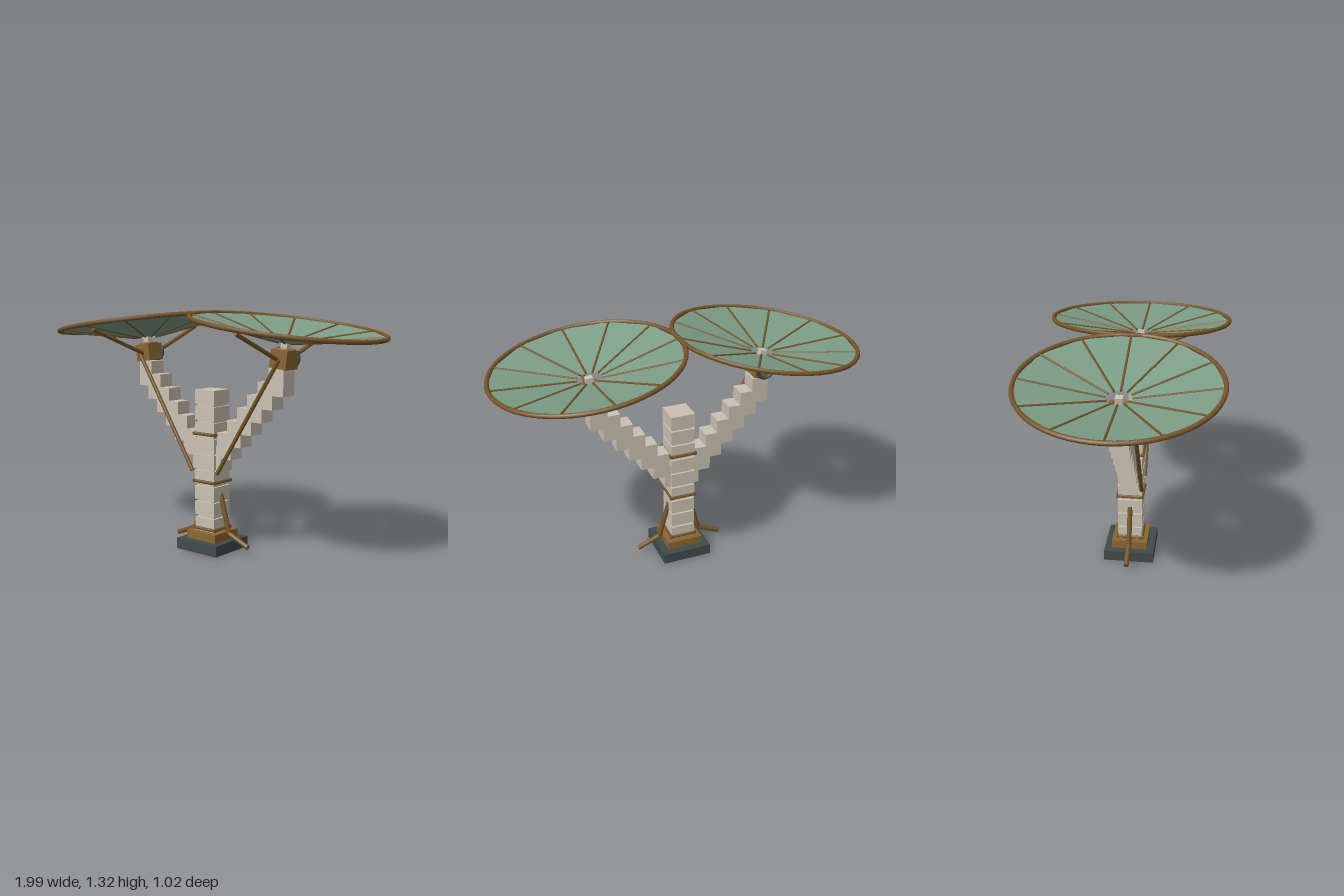
import * as THREE from 'three';

const mat = (name, color, extra = {}) => {
  const m = new THREE.MeshStandardMaterial({ color, ...extra });
  m.name = name;
  return m;
};

export function createModel() {
  const model = new THREE.Group();
  const stone = mat('pale stone', 0xc9c1b2);
  const bronze = mat('bronze', 0x8a6632);
  const brown = mat('dark bronze', 0x76552a);
  const slate = mat('slate', 0x3f4b49);
  const green = mat('canopy green', 0x7b9d87, { side: THREE.DoubleSide });

  const add = (parent, name, geo, material, x = 0, y = 0, z = 0) => {
    const m = new THREE.Mesh(geo, material);
    m.name = name;
    m.position.set(x, y, z);
    parent.add(m);
    return m;
  };
  const box = (parent, name, material, w, h, d, x, y, z) =>
    add(parent, name, new THREE.BoxGeometry(w, h, d), material, x, y, z);
  // Round bar between two points
  const rod = (parent, name, material, a, b, r, sides = 10) => {
    const p = new THREE.Vector3(...a), q = new THREE.Vector3(...b);
    const dir = q.clone().sub(p);
    const m = add(parent, name, new THREE.CylinderGeometry(r, r, dir.length(), sides), material);
    m.position.copy(p).add(q).multiplyScalar(0.5);
    m.quaternion.setFromUnitVectors(new THREE.Vector3(0, 1, 0), dir.normalize());
    return m;
  };

  // Plinth
  box(model, 'base', slate, 0.28, 0.06, 0.28, 0, 0.03, 0);
  box(model, 'baseStep', bronze, 0.2, 0.046, 0.2, 0, 0.083, 0);

  // Trunk of stacked blocks around a narrower core
  const trunk = new THREE.Group();
  trunk.name = 'trunk';
  model.add(trunk);
  box(trunk, 'trunkCore', stone, 0.11, 0.76, 0.11, 0, 0.49, 0);
  for (let i = 0; i < 9; i++) {
    box(trunk, 'trunkBlock', stone, 0.135, 0.077, 0.135, 0, 0.143 + i * 0.0886, 0);
  }

  // Square bands of round bar
  for (const y of [0.12, 0.385, 0.65]) {
    const band = new THREE.Group();
    band.name = 'trunkBand';
    model.add(band);
    for (const s of [-1, 1]) {
      rod(band, 'bandBar', brown, [-0.077, y, s * 0.069], [0.077, y, s * 0.069], 0.009);
      rod(band, 'bandBar', brown, [s * 0.069, y, -0.077], [s * 0.069, y, 0.077], 0.009);
    }
  }

  const tilt = 0.13;
  for (const s of [-1, 1]) {
    const side = new THREE.Group();
    side.name = s > 0 ? 'leftBranch' : 'rightBranch';
    model.add(side);

    // Bent root strut
    rod(side, 'rootUpper', brown, [s * 0.06, 0.315, 0], [s * 0.12, 0.1, 0], 0.014);
    rod(side, 'rootFoot', brown, [s * 0.12, 0.1, 0], [s * 0.25, 0.045, 0], 0.014);
    add(side, 'rootKnee', new THREE.SphereGeometry(0.014, 10, 8), brown, s * 0.12, 0.1, 0);

    // Stepped arm
    for (let i = 0; i < 7; i++) {
      box(side, 'armBlock', stone, 0.093, 0.142, 0.098, s * (0.455 - i * 0.067), 0.957 - i * 0.0727, 0);
    }
    rod(side, 'armRod', brown, [s * 0.087, 0.44, 0.067], [s * 0.485, 1.075, 0.067], 0.011);

    // Tilting head with collar, wheel and post
    const head = new THREE.Group();
    head.name = 'head';
    head.position.set(s * 0.472, 1.075, 0);
    head.rotation.z = -s * tilt;
    side.add(head);
    box(head, 'headBox', bronze, 0.1, 0.095, 0.11, 0, 0, 0);
    const collar = add(head, 'headCollar', new THREE.TorusGeometry(0.044, 0.009, 8, 24), bronze, 0, 0.048, 0);
    collar.rotation.x = Math.PI / 2;
    add(head, 'headWheel', new THREE.TorusGeometry(0.043, 0.01, 8, 24), slate, 0, 0, -0.065);
    box(head, 'post', stone, 0.038, 0.07, 0.038, 0, 0.06, 0);

    // Support struts under the dish
    for (const z of [-1, 1]) {
      rod(side, 'dishStrut', brown, [s * 0.47, 1.07, z * 0.05], [s * 0.484, 1.214, z * 0.42], 0.011);
    }

    // Shallow faceted dish with ribs and rim
    const dish = new THREE.Group();
    dish.name = 'dish';
    dish.position.set(s * 0.49, 1.24, 0);
    dish.rotation.z = -s * tilt;
    side.add(dish);
    const cone = new THREE.CylinderGeometry(0.495, 0.065, 0.08, 12, 1, true).toNonIndexed();
    cone.computeVertexNormals();
    add(dish, 'dishPanels', cone, green, 0, -0.04, 0);
    for (let i = 0; i < 12; i++) {
      const a = (i * Math.PI) / 6, c = Math.cos(a), d = Math.sin(a);
      rod(dish, 'rib', brown, [0.065 * c, -0.079, 0.065 * d], [0.495 * c, 0.001, 0.495 * d], 0.006, 6);
    }
    const rim = add(dish, 'rim', new THREE.TorusGeometry(0.498, 0.012, 8, 64), brown);
    rim.rotation.x = Math.PI / 2;
  }
  return model;
}
